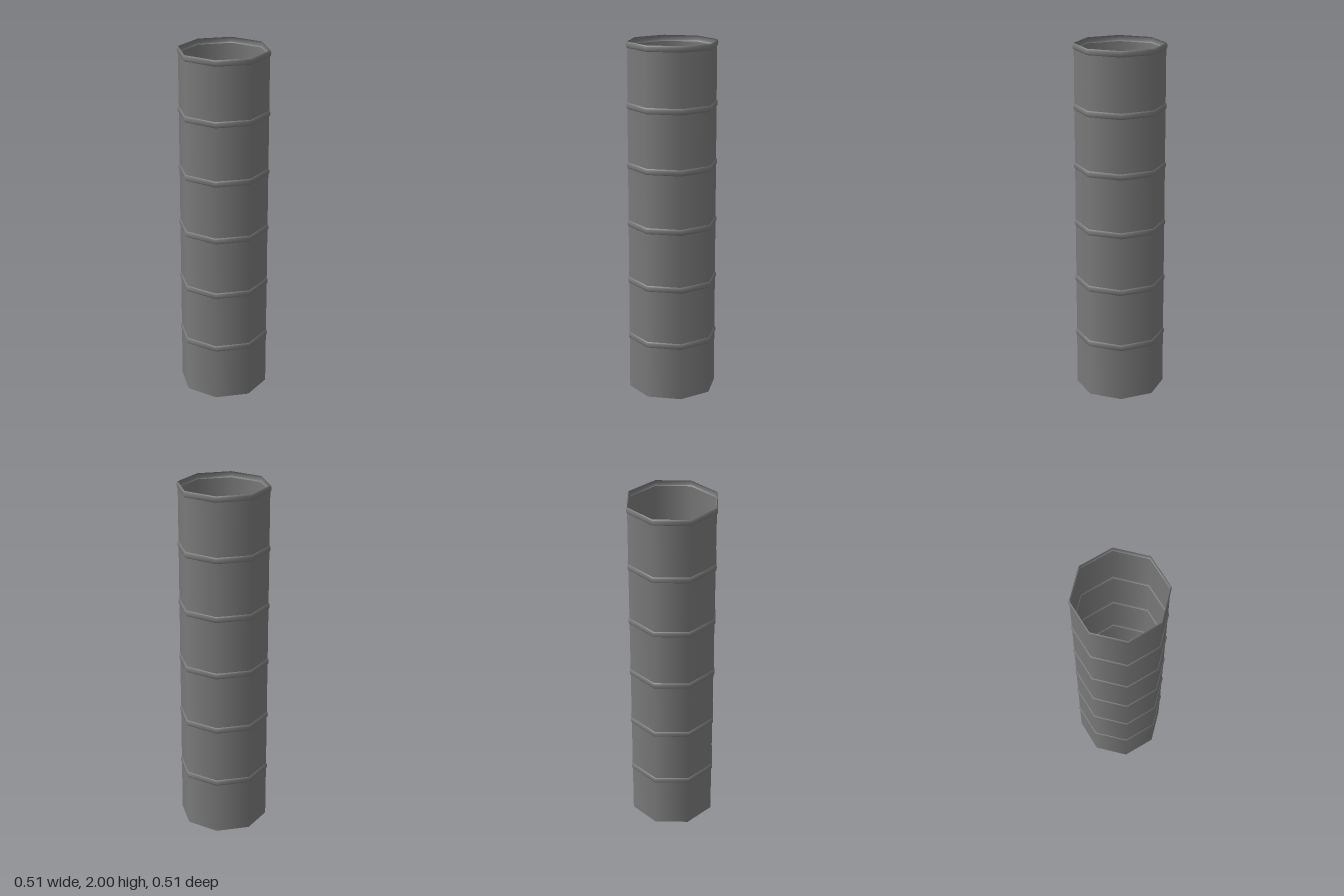
import * as THREE from 'three';

const RADIUS = 0.25, SIDES = 8, SECTIONS = 6;
const PITCH = 2 / SECTIONS, RIB_HEIGHT = 0.034, RIB_BULGE = 0.006;

// Open eight-sided shell turned from [radius, height] points
function shell(name, profile, material) {
  const points = profile.map(([r, y]) => new THREE.Vector2(r, y));
  const mesh = new THREE.Mesh(new THREE.LatheGeometry(points, SIDES), material);
  mesh.name = name;
  return mesh;
}

export function createModel() {
  const group = new THREE.Group();
  group.name = 'ribbedPipe';
  const metal = new THREE.MeshStandardMaterial({ color: 0x7a7a7a, side: THREE.DoubleSide });
  metal.name = 'grey metal';

  // Each section is a straight wall finished by a rounded rib pressed outwards
  const ribProfile = [];
  for (let i = 0; i <= 6; i++) {
    const t = (i / 6) * Math.PI;
    ribProfile.push([RADIUS + RIB_BULGE * Math.sin(t), RIB_HEIGHT * (1 - Math.cos(t)) / 2]);
  }
  for (let i = 0; i < SECTIONS; i++) {
    const section = new THREE.Group();
    section.name = `pipeSection${i + 1}`;
    section.position.y = i * PITCH;
    const wallTop = PITCH - RIB_HEIGHT;
    const rib = shell('rib', ribProfile, metal);
    rib.position.y = wallTop;
    section.add(shell('wall', [[RADIUS, 0], [RADIUS, wallTop]], metal), rib);
    group.add(section);
  }
  return group;
}
